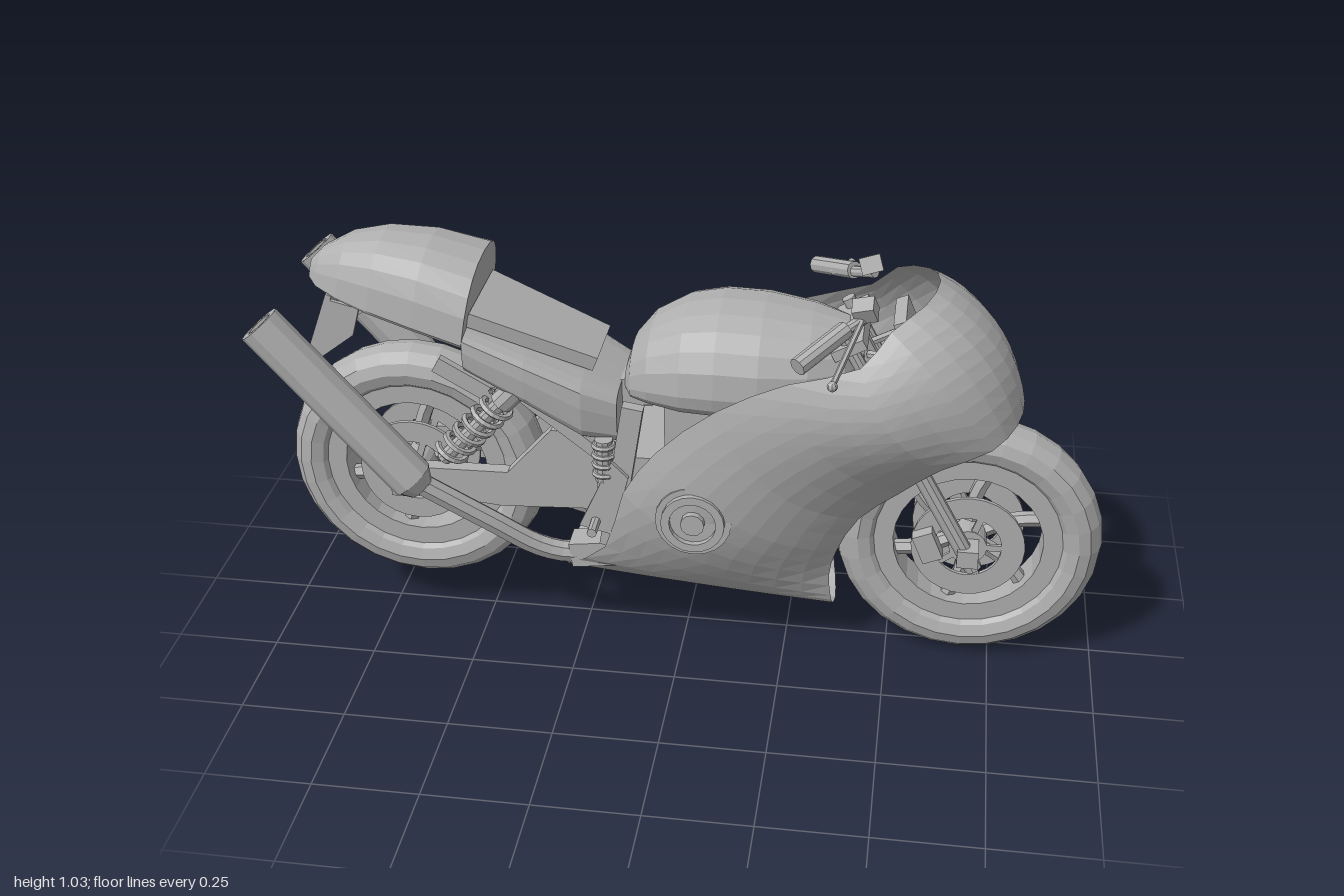
import * as THREE from 'three';

const V = (x, y, z) => new THREE.Vector3(x, y, z);
const grey = new THREE.MeshStandardMaterial({ color: 0xb0b0b0, flatShading: true, side: THREE.DoubleSide });
grey.name = 'grey';

function add(parent, name, geo, x = 0, y = 0, z = 0) {
  const m = new THREE.Mesh(geo, grey);
  m.name = name;
  m.position.set(x, y, z);
  parent.add(m);
  return m;
}

// round bar between two points
function rod(parent, name, a, b, r, r2 = r, sides = 10, open = false) {
  const d = b.clone().sub(a);
  const m = add(parent, name, new THREE.CylinderGeometry(r2, r, d.length(), sides, 1, open));
  m.position.copy(a).add(b).multiplyScalar(0.5);
  m.quaternion.setFromUnitVectors(V(0, 1, 0), d.normalize());
  return m;
}

// flat-sided bar lying in a plane of constant z
function beam(parent, name, x1, y1, x2, y2, h, w, z = 0) {
  const m = add(parent, name, new THREE.BoxGeometry(Math.hypot(x2 - x1, y2 - y1), h, w), (x1 + x2) / 2, (y1 + y2) / 2, z);
  m.rotation.z = Math.atan2(y2 - y1, x2 - x1);
  return m;
}

const tube = (pts, r, seg = 16, sides = 8) => new THREE.TubeGeometry(new THREE.CatmullRomCurve3(pts), seg, r, sides);

function plate(pts, depth) {
  const s = new THREE.Shape(pts.map(p => new THREE.Vector2(...p)));
  return new THREE.ExtrudeGeometry(s, { depth, bevelEnabled: false }).translate(0, 0, -depth / 2);
}

function gridGeometry(rows) {
  const w = rows[0].length, pos = [], idx = [];
  rows.forEach(r => r.forEach(p => pos.push(p.x, p.y, p.z)));
  for (let i = 0; i < rows.length - 1; i++) for (let j = 0; j < w - 1; j++) {
    const a = i * w + j, b = a + w;
    idx.push(a, b, a + 1, b, b + 1, a + 1);
  }
  const g = new THREE.BufferGeometry();
  g.setAttribute('position', new THREE.Float32BufferAttribute(pos, 3));
  g.setIndex(idx);
  g.computeVertexNormals();
  return g;
}

// body along x from stations [x, bottom, top, half width]; waist = height of the widest line
function loft(stations, waist, power, shear = 0, n = 20) {
  const sp = (v) => Math.sign(v) * Math.abs(v) ** power;
  const rows = stations.map(([x, yb, yt, hw]) => {
    const yw = yb + (yt - yb) * waist;
    return Array.from({ length: n + 1 }, (_, k) => {
      const t = k / n * Math.PI * 2, s = sp(Math.sin(t));
      const y = yw + s * (s > 0 ? yt - yw : yw - yb);
      return V(x + shear * (y - yw), y, hw * sp(Math.cos(t)));
    });
  });
  const cap = row => {
    const c = row.slice(0, n).reduce((s, p) => s.add(p), V(0, 0, 0)).divideScalar(n);
    return row.map(() => c);
  };
  return gridGeometry([cap(rows[0]), ...rows, cap(rows.at(-1))]);
}

// ring turned about the z axis, rectangular section
function ring(r1, r2, w, seg = 28) {
  const h = w / 2, p = [[r1, -h], [r2, -h], [r2, h], [r1, h], [r1, -h]];
  return new THREE.LatheGeometry(p.map(q => new THREE.Vector2(...q)), seg).rotateX(Math.PI / 2);
}
const disc = (r, w, seg = 20) => new THREE.CylinderGeometry(r, r, w, seg).rotateX(Math.PI / 2);

function wheel(name, x, y) {
  const g = new THREE.Group();
  g.name = name;
  g.position.set(x, y, 0);
  const prof = Array.from({ length: 13 }, (_, k) => {
    const t = k / 12 * Math.PI * 2;
    return new THREE.Vector2(0.262 + 0.056 * Math.cos(t), 0.065 * Math.sin(t));
  });
  add(g, 'tyre', new THREE.LatheGeometry(prof, 28).rotateX(Math.PI / 2));
  add(g, 'rim', ring(0.178, 0.225, 0.09));
  add(g, 'hub', disc(0.045, 0.13));
  add(g, 'axle', disc(0.018, 0.24, 10));
  for (let i = 0; i < 6; i++) {
    const a = i * Math.PI / 3 + 0.3;
    const P = (r, d) => V(r * Math.cos(a + d), r * Math.sin(a + d), 0);
    add(g, 'spoke', tube([P(0.03, 0), P(0.11, 0.12), P(0.19, 0)], 0.019, 6, 6));
  }
  for (const s of [1, -1]) {
    add(g, 'brakeDisc', ring(0.08, 0.135, 0.01), 0, 0, s * 0.058);
    for (let i = 0; i < 5; i++) {
      const a = i * Math.PI * 0.4;
      beam(g, 'discArm', 0.03 * Math.cos(a), 0.03 * Math.sin(a), 0.1 * Math.cos(a), 0.1 * Math.sin(a), 0.016, 0.008, s * 0.058);
    }
  }
  return g;
}

// shell between its rear/upper edge and its front/lower edge, swelling through a middle line
function fairing() {
  const half = [
    [.57, .98, 0, .715, .85, 0, .782, .69, 0],
    [.54, .965, .10, .675, .86, .13, .765, .685, .11],
    [.47, .93, .17, .59, .83, .225, .71, .66, .19],
    [.41, .86, .215, .48, .73, .262, .60, .60, .19],
    [.25, .81, .22, .34, .64, .237, .51, .50, .14],
    [.09, .72, .205, .22, .53, .215, .42, .41, .12],
    [-.05, .59, .185, .14, .42, .208, .37, .30, .10],
    [-.13, .47, .18, .08, .33, .188, .355, .22, .08],
    [-.18, .30, .155, .05, .23, .138, .36, .15, .068],
    [-.28, .22, .12, .03, .165, .085, .365, .12, .055],
    [-.296, .17, 0, .01, .125, 0, .37, .10, 0]];
  const line = k => new THREE.CatmullRomCurve3([
    ...half.slice(1).reverse().map(c => V(c[k], c[k + 1], -c[k + 2])),
    ...half.map(c => V(c[k], c[k + 1], c[k + 2]))]).getPoints(40);
  const [A, M, B] = [0, 3, 6].map(line);
  return gridGeometry(A.map((a, i) => {
    const ctrl = M[i].clone().multiplyScalar(2).sub(a.clone().add(B[i]).multiplyScalar(0.5));
    return new THREE.QuadraticBezierCurve3(a, ctrl, B[i]).getPoints(10);
  }));
}

export function createModel() {
  const g = new THREE.Group();
  g.name = 'motorcycle';
  g.add(wheel('frontWheel', 0.68, 0.318), wheel('rearWheel', -0.665, 0.418));

  // bodywork
  add(g, 'fairing', fairing());
  add(g, 'tank', loft([[-.143, .67, .73, .05], [-.125, .66, .79, .10], [-.08, .66, .845, .145], [0, .65, .89, .175], [.08, .65, .905, .188],
    [.18, .65, .902, .188], [.29, .66, .885, .165], [.37, .68, .865, .12], [.41, .72, .84, .06]], 0.35, 0.85));
  add(g, 'tailCowl', loft([[-.895, .90, .945, .02], [-.87, .89, .975, .055], [-.81, .875, 1.01, .095], [-.73, .855, 1.026, .125],
    [-.62, .83, 1.02, .15], [-.50, .80, .99, .165]], 0.12, 0.8, 0.16));
  add(g, 'seatBase', loft([[-.50, .74, .85, .165], [-.36, .66, .795, .165], [-.23, .575, .74, .155], [-.15, .56, .70, .13]], 0.6, 0.45));
  const seat = add(g, 'seat', plate([[-.15, -.12], [.16, -.085], [.16, .085], [-.15, .12]], 0.035).rotateX(Math.PI / 2), -.355, .813);
  seat.rotation.z = -0.37;
  beam(g, 'rearMudguard', -.83, .89, -.905, .69, 0.015, 0.17);
  for (const s of [1, -1]) add(g, 'mudguardSide', plate([[-.84, .88], [-.76, .86], [-.78, .79], [-.91, .69]], 0.01), 0, 0, s * 0.08);

  // engine and frame
  add(g, 'engineBlock', new THREE.BoxGeometry(0.36, 0.28, 0.26), .04, .40);
  add(g, 'sump', new THREE.BoxGeometry(0.4, 0.1, 0.16), .04, .235);
  add(g, 'cylinders', new THREE.BoxGeometry(0.26, 0.2, 0.24), .09, .58);
  add(g, 'radiator', new THREE.BoxGeometry(0.04, 0.24, 0.24), .33, .55).rotation.z = 0.3;
  beam(g, 'frameSpine', -.2, .66, .42, .74, 0.07, 0.1);
  rod(g, 'headstock', V(.37, .85, 0), V(.46, .68, 0), 0.035);
  rod(g, 'footpegs', V(-.2, .375, -.215), V(-.2, .375, .215), 0.012, 0.012, 8);
  beam(g, 'swingarmPivot', -.2, .43, -.12, .43, 0.08, 0.26);

  // engine covers: ringed on the left flank, a plain round boss on the right
  add(g, 'engineCover', disc(0.09, 0.06), .04, .425, .18);
  add(g, 'coverRing', ring(0.055, 0.075, 0.02, 20), .04, .425, .214);
  add(g, 'coverBoss', disc(0.028, 0.03, 12), .04, .425, .212);
  add(g, 'clutchCover', disc(0.055, 0.07, 16), .08, .44, -.195);

  // forks, clamps and instruments
  const fork = y => .68 - (y - .31) / 1.79;
  for (const y of [.67, .85]) add(g, 'forkClamp', new THREE.BoxGeometry(0.08, 0.025, 0.24), fork(y), y).rotation.z = 0.5;
  add(g, 'instruments', new THREE.BoxGeometry(0.03, 0.07, 0.14), .50, .87).rotation.z = 0.4;

  for (const s of [1, -1]) {
    rod(g, 'forkTube', V(fork(.6), .6, s * .095), V(fork(.88), .88, s * .095), 0.016);
    rod(g, 'forkLeg', V(fork(.28), .28, s * .095), V(fork(.62), .62, s * .095), 0.021);
    add(g, 'forkFoot', new THREE.BoxGeometry(0.05, 0.045, 0.06), .68, .32, s * .095);
    beam(g, 'brakeCaliper', .57, .36, .6, .29, 0.05, 0.04, s * .075);
    rod(g, 'cowlStay', V(.42, .80, s * .03), V(.60, .84, s * .14), 0.01, 0.01, 6);

    // handlebar controls
    rod(g, 'handlebar', V(.42, .94, s * .11), V(.32, .898, s * .2), 0.013);
    rod(g, 'grip', V(.37, .922, s * .155), V(.275, .88, s * .265), 0.021);
    const reservoir = add(g, 'reservoir', new THREE.BoxGeometry(0.05, 0.04, 0.042), .41, .955, s * .12);
    reservoir.rotation.set(s * 0.4, 0, 0.3);
    rod(g, 'lever', V(.405, .935, s * .13), V(.355, .865, s * .31), 0.007, 0.007, 6);
    add(g, 'leverTip', new THREE.SphereGeometry(0.012, 8, 6), .355, .865, s * .315);

    // frame rails and pegs
    beam(g, 'frameRail', -.11, .68, -.17, .30, 0.05, 0.03, s * .135);
    beam(g, 'subframe', -.15, .5, -.45, .74, 0.03, 0.03, s * .11);
    beam(g, 'shockBracket', -.58, .74, -.44, .66, 0.04, 0.02, s * .1);
    add(g, 'footpegPlate', plate([[-.24, .36], [-.16, .34], [-.12, .5], [-.16, .54]], 0.012), 0, 0, s * .155);
    rod(g, 'canister', V(-.18, .48, s * .14), V(-.18, .59, s * .14), 0.022);
    for (let i = 0; i < 4; i++) add(g, 'canisterRib', new THREE.TorusGeometry(0.023, 0.007, 6, 12).rotateX(Math.PI / 2), -.18, .5 + i * .025, s * .14);

    // swingarm
    const arm = plate([[-.71, .46], [-.71, .395], [-.44, .37], [-.14, .385], [-.14, .47], [-.27, .59], [-.31, .59], [-.42, .465]], 0.035);
    add(g, 'swingarm', arm, 0, 0, s * .1);
    add(g, 'chainAdjuster', new THREE.BoxGeometry(0.05, 0.075, 0.05), -.68, .425, s * .11);

    // coil-over shock
    const a = V(-.57, .50, s * .13), b = V(-.38, .71, s * .13);
    rod(g, 'shockRod', a, b, 0.018);
    rod(g, 'shockTop', a.clone().lerp(b, .78), b, 0.03);
    const up = b.clone().sub(a).normalize(), side = V(-up.y, up.x, 0);
    const coil = Array.from({ length: 49 }, (_, k) => {
      const t = k / 8 * Math.PI * 2;
      return a.clone().lerp(b, .08 + k / 48 * .72).addScaledVector(side, .035 * Math.cos(t)).add(V(0, 0, .035 * Math.sin(t)));
    });
    add(g, 'shockSpring', tube(coil, 0.008, 96, 5));

    // exhaust
    const lo = V(-.625, .485, s * .21), hi = V(-.955, .87, s * .21);
    add(g, 'exhaustPipe', tube([V(-.12, .262, s * .09), V(-.2, .258, s * .1), V(-.28, .25, s * .112), V(-.35, .275, s * .13), V(-.46, .36, s * .165), lo], 0.027, 20));
    beam(g, 'exhaustCollar', -.27, .252, -.15, .268, 0.065, 0.07, s * .1);
    const d = hi.clone().sub(lo).normalize();
    rod(g, 'mufflerCone', lo.clone().addScaledVector(d, -.03), lo, 0.032, 0.05, 12);
    rod(g, 'muffler', lo, hi, 0.052, 0.052, 12, true);
    rod(g, 'mufflerOutlet', lo, hi, 0.03, 0.03, 12, true);
    rod(g, 'mufflerBaffle', lo, hi.clone().addScaledVector(d, -.03), 0.05, 0.05, 12);
    const lip = add(g, 'mufflerLip', new THREE.RingGeometry(0.034, 0.052, 12));
    lip.position.copy(hi);
    lip.quaternion.setFromUnitVectors(V(0, 0, 1), d);
  }
  return g;
}
